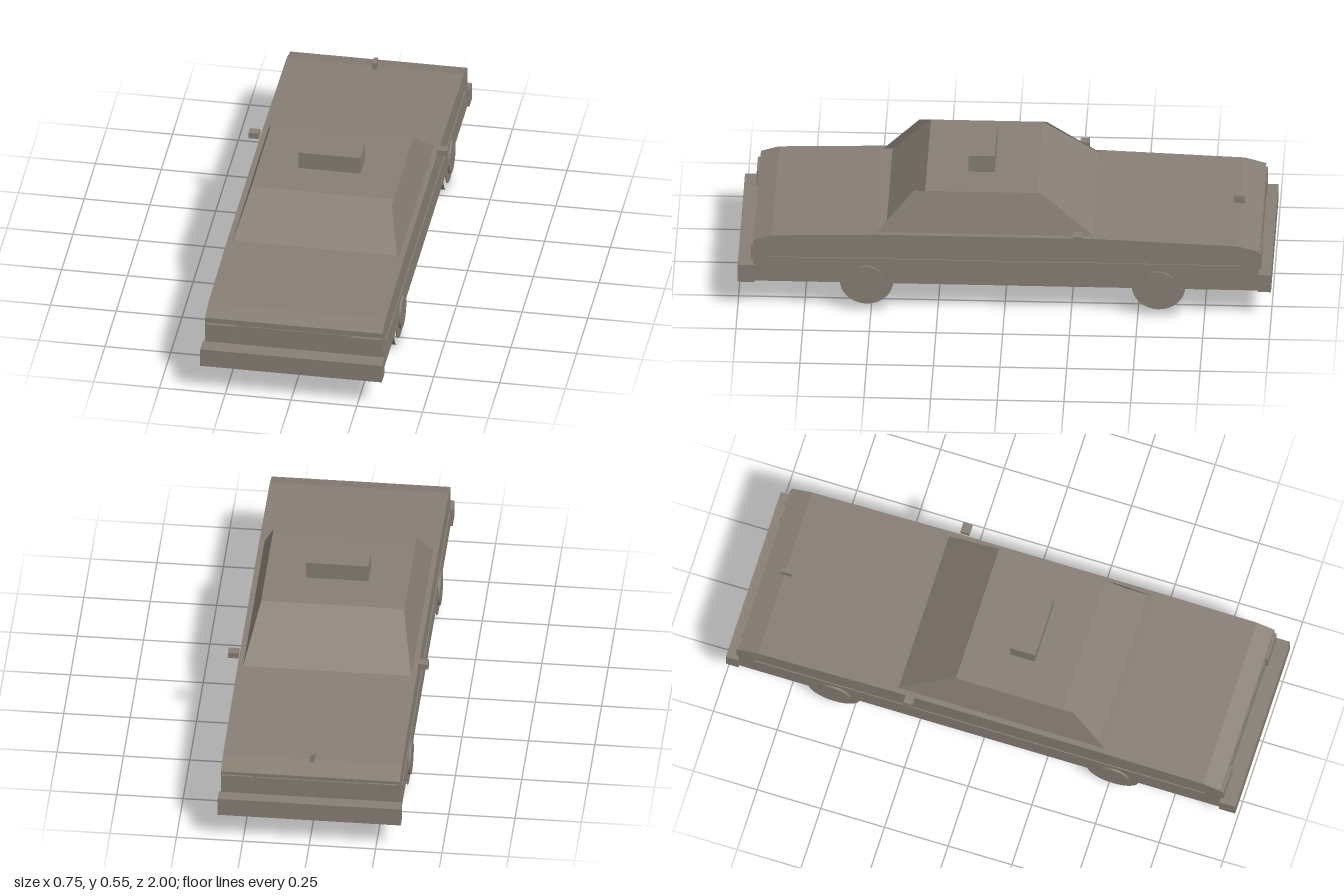
import * as THREE from 'three';

export function createModel() {
  const car = new THREE.Group();
  car.name = 'sedan';
  const taupe = new THREE.MeshStandardMaterial({ color: 0x877e74 });
  taupe.name = 'taupe';
  const taupeSheet = new THREE.MeshStandardMaterial({ color: 0x877e74, side: THREE.DoubleSide });
  taupeSheet.name = 'taupe sheet';

  const add = (name, geometry, material = taupe) => {
    const mesh = new THREE.Mesh(geometry, material);
    mesh.name = name;
    car.add(mesh);
    return mesh;
  };
  // Box given by its limits on each axis
  const box = (name, x0, x1, y0, y1, z0, z1) =>
    add(name, new THREE.BoxGeometry(x1 - x0, y1 - y0, z1 - z0)
      .translate((x0 + x1) / 2, (y0 + y1) / 2, (z0 + z1) / 2));
  // Flat four-cornered panel
  const quad = (name, a, b, c, d) => {
    const g = new THREE.BufferGeometry();
    g.setAttribute('position', new THREE.Float32BufferAttribute([a, b, c, a, c, d].flat(), 3));
    g.computeVertexNormals();
    return add(name, g, taupeSheet);
  };

  // Lower body: side profile (z, y) extruded across the width
  const halfWidth = 0.337;
  const profile = new THREE.Shape([
    [-0.95, 0.117], [0.94, 0.117], [0.94, 0.292], [0.872, 0.313], [0.48, 0.325],
    [-0.335, 0.325], [-0.875, 0.305], [-0.955, 0.283],
  ].map(([z, y]) => new THREE.Vector2(z, y)));
  add('body', new THREE.ExtrudeGeometry(profile, { depth: 2 * halfWidth, bevelEnabled: false })
    .rotateY(-Math.PI / 2).translate(halfWidth, 0, 0));

  // Bumpers
  box('rearBumper', -0.345, 0.345, 0.115, 0.188, 0.937, 1);
  box('frontBumper', -0.345, 0.345, 0.115, 0.188, -1, -0.95);

  // Cabin: roof, windows and side panels that overhang the windows slightly
  const top = 0.48, base = 0.324, xt = 0.27, xb = 0.317;
  quad('roof', [-xt, top, 0.3], [xt, top, 0.3], [xt, top, -0.12], [-xt, top, -0.12]);
  quad('rearWindow', [-0.31, base, 0.446], [0.31, base, 0.446], [xt, top, 0.3], [-xt, top, 0.3]);
  quad('windshield', [xb, base, -0.332], [-xb, base, -0.332], [-xt, top, -0.12], [xt, top, -0.12]);
  quad('leftCabinSide', [xb, base, 0.48], [xb, base, -0.336], [xt, top, -0.134], [xt, top, 0.342]);
  quad('rightCabinSide', [-xb, base, -0.336], [-xb, base, 0.48], [-xt, top, 0.342], [-xt, top, -0.134]);

  // Roof sign and hood ornament
  box('roofSign', -0.118, 0.118, 0.479, 0.548, 0.045, 0.143);
  box('hoodOrnament', -0.008, 0.008, 0.303, 0.334, -0.889, -0.848);

  // Panels between the lights
  box('rearPanel', -0.22, 0.22, 0.205, 0.27, 0.938, 0.943);
  box('grille', -0.205, 0.205, 0.205, 0.268, -0.959, -0.95);

  for (const s of [1, -1]) {
    const sideBox = (name, x0, x1, ...rest) =>
      box(name, Math.min(s * x0, s * x1), Math.max(s * x0, s * x1), ...rest);
    sideBox('tailLight', 0.222, 0.332, 0.205, 0.271, 0.938, 0.951);
    sideBox('outerHeadlight', 0.278, 0.332, 0.205, 0.271, -0.962, -0.95);
    sideBox('innerHeadlight', 0.215, 0.27, 0.205, 0.271, -0.962, -0.95);
    sideBox('mirror', 0.338, 0.377, 0.332, 0.355, -0.293, -0.258);
    sideBox('sideTrim', 0.336, 0.341, 0.211, 0.223, -0.89, 0.88);

    // Wheels: open tread, rim disc and raised hubcap
    for (const z of [0.517, -0.578]) {
      const disc = (name, radius, width, x, open = false) =>
        add(name, new THREE.CylinderGeometry(radius, radius, width, 32, 1, open)
          .rotateZ(Math.PI / 2).translate(x, 0.127, z));
      disc('tireTread', 0.127, 0.08, s > 0 ? 0.29 : -0.21, true);
      disc('wheelRim', 0.101, 0.003, s * 0.3335);
      disc('hubcap', 0.064, 0.011, s * 0.3395);
    }
  }
  return car;
}
